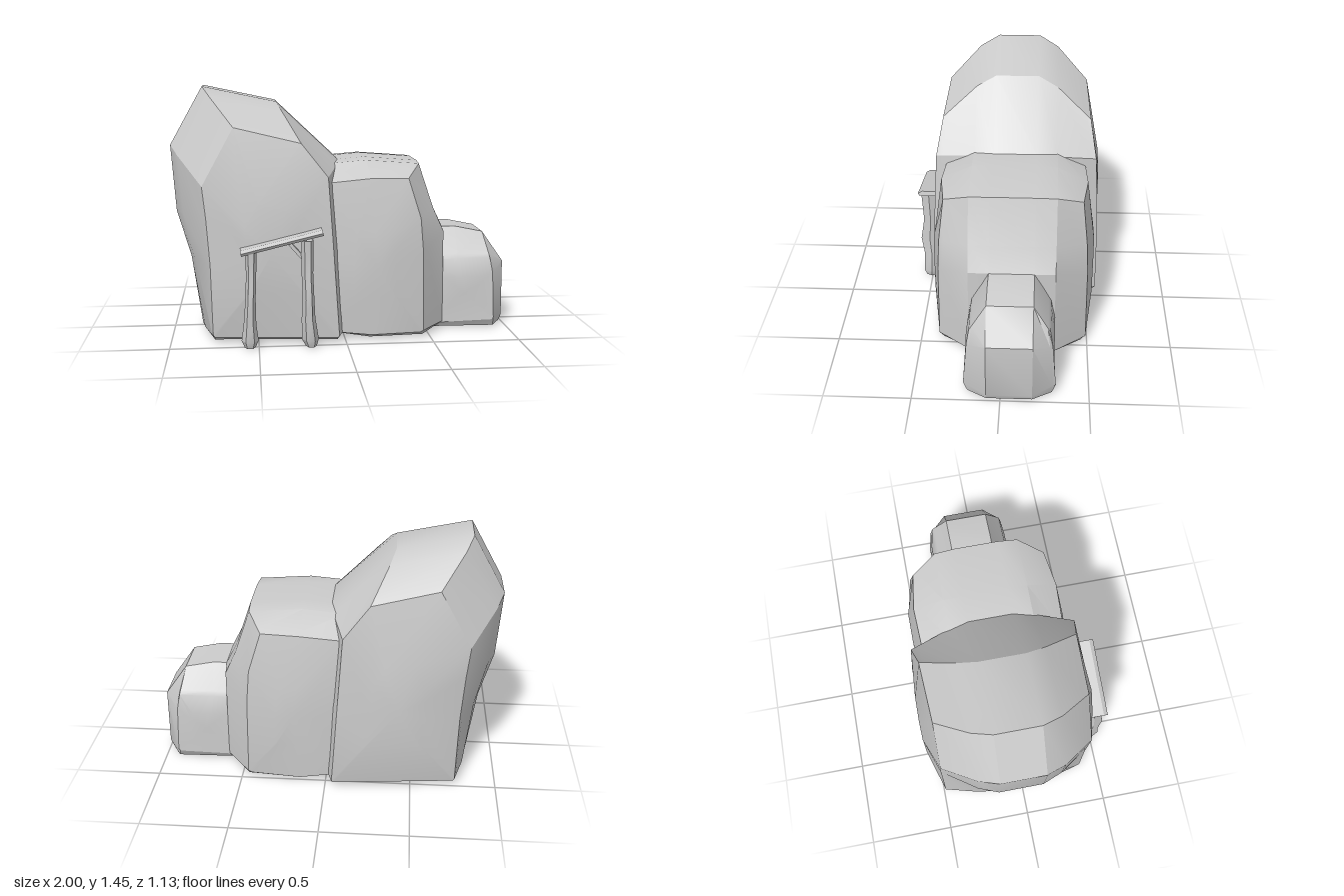
import * as THREE from 'three';
import { toCreasedNormals } from 'three/addons/utils/BufferGeometryUtils.js';

const MID_Z = -0.05; // the rocks are mirrored about this plane
const CREASE = 0.42;

function mesh(name, geometry) {
  const m = new THREE.Mesh(geometry, new THREE.MeshStandardMaterial({ color: 0xcccccc }));
  m.name = name;
  return m;
}

// Skins a stack of closed rings of equal length and closes both ends with fans.
function loft(rings) {
  const n = rings[0].length;
  const pos = rings.flat(2);
  const index = [];
  for (let k = 0; k < rings.length - 1; k++) {
    for (let i = 0; i < n; i++) {
      const j = (i + 1) % n;
      const a = k * n + i, b = k * n + j, c = a + n, d = b + n;
      index.push(a, c, b, b, c, d);
    }
  }
  for (const last of [false, true]) {
    const ring = last ? rings[rings.length - 1] : rings[0];
    const base = last ? (rings.length - 1) * n : 0;
    const centre = pos.length / 3;
    for (let axis = 0; axis < 3; axis++) {
      pos.push(ring.reduce((sum, p) => sum + p[axis], 0) / n);
    }
    for (let i = 0; i < n; i++) {
      const j = (i + 1) % n;
      if (last) index.push(centre, base + j, base + i);
      else index.push(centre, base + i, base + j);
    }
  }
  const g = new THREE.BufferGeometry();
  g.setAttribute('position', new THREE.Float32BufferAttribute(pos, 3));
  g.setIndex(index);
  return toCreasedNormals(g, CREASE);
}

// Each row is [ridge x, ridge y, side x, side y, side half depth], clockwise from the front.
// steps are [half depth, blend from ridge outline to side outline].
function rock(name, rows, steps, bulge) {
  const lerp = THREE.MathUtils.lerp;
  const ridgeRing = (s, [depth, t]) => rows.map(([x, y, sx, sy]) =>
    [lerp(x, sx, t), y < 0.03 ? y : lerp(y, sy, t), MID_Z + s * depth]);
  // ring just inside the side, keeping the underside flat up to its chamfer
  const rimRing = (s) => rows.map(([x, y, sx, sy, w]) => {
    const [depth, t] = steps[steps.length - 1];
    return [lerp(x, sx, lerp(t, 1, 0.85)), y < 0.03 ? y : lerp(y, sy, lerp(t, 1, 0.85)),
      MID_Z + s * lerp(depth, w, 0.85)];
  });
  const sideRing = (s) => rows.map(([, , sx, sy, w]) => [sx, sy, MID_Z + s * w]);
  const bulgeRing = (s) => rows.map(([, , sx, sy]) => [
    lerp(bulge.x, sx, bulge.scale), lerp(bulge.y, sy, bulge.scale), MID_Z + s * bulge.depth]);
  const half = (s) => [...steps.map((st) => ridgeRing(s, st)), rimRing(s), sideRing(s), bulgeRing(s)];
  return mesh(name, loft([...half(-1).reverse(), ...half(1)]));
}

// Rough six-sided post; rows are [y, x offset, z offset, half width, half depth].
function post(name, x, z, rows) {
  const rings = rows.map(([y, dx, dz, rx, rz]) => Array.from({ length: 6 }, (_, i) => {
    const a = (i + 0.5) * Math.PI / 3;
    return [x + dx + rx * Math.sin(a) / 0.98, y, z + dz + rz * Math.cos(a) / 0.9];
  }));
  return mesh(name, loft(rings.reverse()));
}

export function createModel() {
  const group = new THREE.Group();
  group.name = 'rockFormation';

  // Tall boulder
  group.add(rock('tallRock', [
    [-0.83, 0.04, -0.76, 0.04, 0.44],
    [-0.89, 0.45, -0.77, 0.45, 0.44],
    [-0.97, 0.72, -0.79, 0.72, 0.44],
    [-1.0, 1.11, -0.81, 0.9, 0.435],
    [-0.81, 1.45, -0.63, 1.23, 0.43],
    [-0.38, 1.36, -0.25, 1.14, 0.45],
    [-0.01, 1.01, -0.1, 0.95, 0.485],
    [0.08, 0.5, -0.07, 0.5, 0.51],
    [0.08, 0.05, -0.04, 0.04, 0.515],
    [-0.02, 0.01, -0.05, 0.03, 0.51],
    [-0.76, 0.01, -0.75, 0.03, 0.44],
  ], [[0.13, 0], [0.245, 0.25]], { x: -0.4, y: 0.5, scale: 0.42, depth: 0.513 }));

  // Middle boulder
  group.add(rock('middleRock', [
    [-0.2, 0.05, -0.15, 0.05, 0.43],
    [-0.2, 0.5, -0.15, 0.5, 0.43],
    [-0.1, 1.01, -0.1, 0.91, 0.42],
    [0.14, 1.03, 0.15, 0.935, 0.43],
    [0.46, 1.005, 0.37, 0.93, 0.4],
    [0.55, 0.74, 0.44, 0.7, 0.425],
    [0.62, 0.6, 0.455, 0.5, 0.435],
    [0.62, 0.04, 0.46, 0.04, 0.44],
    [0.57, 0.01, 0.44, 0.03, 0.44],
    [0.1, 0.01, 0.15, 0.03, 0.47],
  ], [[0.13, 0], [0.25, 0.08]], { x: 0.18, y: 0.4, scale: 0.4, depth: 0.474 }));

  // Small boulder
  group.add(rock('smallRock', [
    [0.5, 0.04, 0.5, 0.04, 0.25],
    [0.5, 0.6, 0.5, 0.41, 0.225],
    [0.7, 0.6, 0.7, 0.42, 0.23],
    [0.87, 0.565, 0.9, 0.42, 0.225],
    [1.0, 0.38, 0.915, 0.33, 0.24],
    [1.0, 0.04, 0.92, 0.06, 0.262],
    [0.985, 0.005, 0.91, 0.045, 0.26],
    [0.5, 0.005, 0.5, 0.03, 0.25],
  ], [[0.13, 0]], { x: 0.75, y: 0.2, scale: 0.5, depth: 0.25 }));

  // Doorway: two worn posts, a brace and a tilted lintel
  const doorway = new THREE.Group();
  doorway.name = 'doorway';
  doorway.add(post('rightPost', -0.55, 0.5, [
    [0, 0, 0.005, 0.03, 0.035], [0.04, 0, 0.005, 0.047, 0.05], [0.13, 0, 0, 0.035, 0.05],
    [0.28, 0.005, 0.01, 0.028, 0.058], [0.42, 0.01, 0, 0.028, 0.045], [0.55, 0.01, 0.005, 0.032, 0.05],
  ]));
  doorway.add(post('leftPost', -0.215, 0.5, [
    [0, 0.01, 0.005, 0.03, 0.035], [0.04, 0.005, 0.005, 0.047, 0.05], [0.16, -0.005, 0, 0.038, 0.05],
    [0.28, -0.005, 0.01, 0.032, 0.058], [0.42, -0.01, 0, 0.032, 0.045], [0.61, -0.01, 0.005, 0.035, 0.05],
  ]));
  const brace = mesh('brace', new THREE.BoxGeometry(0.11, 0.02, 0.04));
  brace.position.set(-0.285, 0.545, 0.48);
  brace.rotation.z = -0.85;
  doorway.add(brace);

  const slab = new THREE.Shape([
    [0.42, -0.012], [0.555, -0.012], [0.565, 0.004], [0.54, 0.018], [0.42, 0.018],
  ].map(([z, y]) => new THREE.Vector2(-z, y)));
  const lintelGeo = new THREE.ExtrudeGeometry(slab, { depth: 0.47, bevelEnabled: false });
  lintelGeo.rotateY(Math.PI / 2);
  lintelGeo.translate(-0.235, 0, 0);
  const lintel = mesh('lintel', toCreasedNormals(lintelGeo, CREASE));
  lintel.position.set(-0.367, 0.598, 0);
  lintel.rotation.z = 0.235;
  doorway.add(lintel);
  group.add(doorway);

  return group;
}
